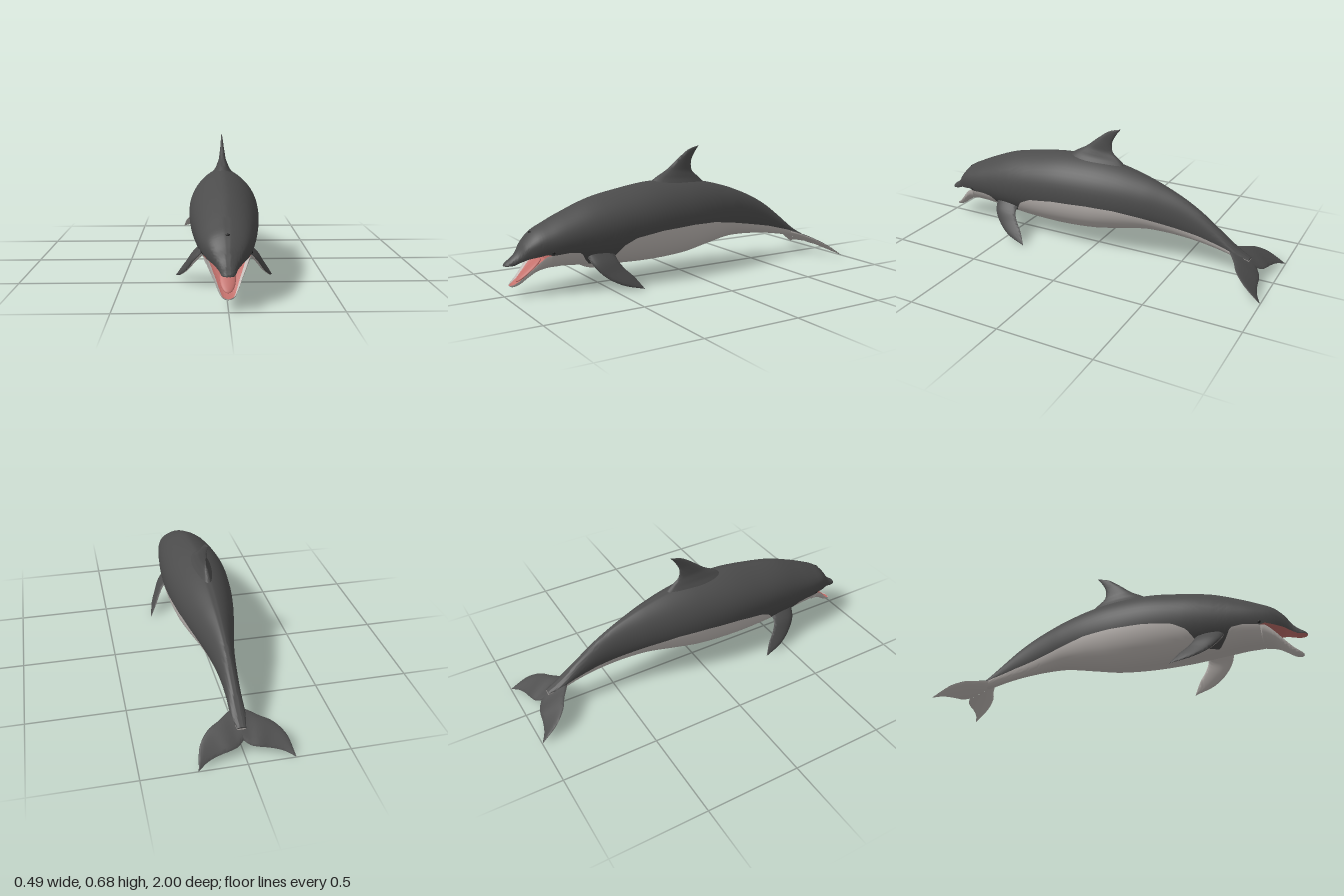
import * as THREE from 'three';
import { toCreasedNormals } from 'three/addons/utils/BufferGeometryUtils.js';

const material = (name, color) => Object.assign(new THREE.MeshStandardMaterial({ color }), { name });
const V = (x, y, z) => new THREE.Vector3(x, y, z);
const UP = 28, LOW = 20; // segments above and below the colour line

// Body sections: z, top, widest height, bottom, half width
const BODY = [
  [-0.87, 0.113, 0.104, 0.096, 0.022], [-0.8, 0.155, 0.13, 0.105, 0.036],
  [-0.7, 0.235, 0.18, 0.125, 0.037], [-0.6, 0.31, 0.225, 0.142, 0.043],
  [-0.5, 0.368, 0.255, 0.153, 0.056], [-0.4, 0.412, 0.275, 0.159, 0.077],
  [-0.3, 0.448, 0.29, 0.157, 0.102], [-0.15, 0.487, 0.3, 0.13, 0.136],
  [0, 0.508, 0.305, 0.102, 0.16], [0.2, 0.51, 0.31, 0.09, 0.175],
  [0.4, 0.482, 0.3, 0.095, 0.17], [0.55, 0.45, 0.285, 0.108, 0.156],
  [0.7, 0.392, 0.265, 0.121, 0.135], [0.78, 0.355, 0.255, 0.121, 0.119],
  [0.85, 0.318, 0.245, 0.13, 0.097], [0.9, 0.268, 0.22, 0.14, 0.068],
  [0.93, 0.222, 0.185, 0.14, 0.045], [0.96, 0.193, 0.165, 0.14, 0.034],
  [0.99, 0.172, 0.157, 0.145, 0.024], [1, 0.16, 0.156, 0.15, 0.004],
];
// Height of the line between back and belly, then of the upper lip: z, y
const LINE = [
  [-0.87, 0.105], [-0.75, 0.15], [-0.6, 0.19], [-0.45, 0.22], [-0.3, 0.25], [-0.15, 0.275],
  [0, 0.28], [0.2, 0.272], [0.35, 0.25], [0.42, 0.215], [0.46, 0.16], [0.49, 0.125],
  [0.57, 0.12], [0.61, 0.155], [0.64, 0.2], [0.7, 0.208], [0.785, 0.2], [0.81, 0.207],
  [0.89, 0.188], [0.955, 0.157], [1, 0.155],
];
// Lower jaw: z, lip height, bottom, half width
const JAW = [
  [0.785, 0.2, 0.121, 0.107], [0.81, 0.196, 0.117, 0.1], [0.85, 0.163, 0.106, 0.084],
  [0.89, 0.122, 0.081, 0.063], [0.93, 0.083, 0.053, 0.044], [0.96, 0.062, 0.045, 0.029],
  [0.973, 0.055, 0.049, 0.012],
];
const THROAT = 0.785;

// Interpolates a table row at z, smoothly or in straight steps
function at(table, z, smooth = true) {
  let k = 0;
  while (k < table.length - 2 && z > table[k + 1][0]) k++;
  const a = table[k], b = table[k + 1], dz = b[0] - a[0];
  const t = THREE.MathUtils.clamp((z - a[0]) / dz, 0, 1);
  const p = table[Math.max(k - 1, 0)], q = table[Math.min(k + 2, table.length - 1)];
  return a.slice(1).map((v, n) => {
    const i = n + 1, w = b[i];
    if (!smooth) return v + (w - v) * t;
    const m0 = (w - p[i]) / (b[0] - p[0]) * dz, m1 = (q[i] - v) / (q[0] - a[0]) * dz;
    return (2 * t ** 3 - 3 * t * t + 1) * v + (t ** 3 - 2 * t * t + t) * m0
      + (3 * t * t - 2 * t ** 3) * w + (t ** 3 - t * t) * m1;
  });
}

// Skins closed rings; pick(i, j) gives the material number of each quad
function loft(name, rings, mats, pick, crease = 0.9) {
  const n = rings[0].length, lists = mats.map(() => []);
  for (let i = 0; i < rings.length - 1; i++) {
    for (let j = 0; j < n; j++) {
      const a = i * n + j, b = i * n + (j + 1) % n;
      lists[pick(i, j)].push(a, b, a + n, b, b + n, a + n);
    }
  }
  const geo = new THREE.BufferGeometry().setFromPoints(rings.flat());
  geo.setIndex(lists.flat());
  let start = 0;
  lists.forEach((l, k) => { geo.addGroup(start, l.length, k); start += l.length; });
  const mesh = new THREE.Mesh(toCreasedNormals(geo, crease), mats);
  mesh.name = name;
  return mesh;
}

// Ring shrunk to its middle, to close an end
function capRing(ring) {
  const c = ring.reduce((s, p) => s.add(p), V(0, 0, 0)).divideScalar(ring.length);
  return ring.map(() => c.clone());
}

// One body section; in front of the throat its underside is the mouth roof
function bodyRing(z, roof) {
  const [T, C, B, W] = at(BODY, z), h = at(LINE, z, false)[0];
  const a0 = Math.asin(THREE.MathUtils.clamp((h - C) / (h > C ? T - C : C - B), -0.99, 0.99));
  const point = (a) => {
    const s = Math.sin(a), c = Math.cos(a);
    const x = Math.sign(c) * Math.abs(c) ** (1 + 0.3 * Math.max(0, s)) * W;
    return V(x, C + s * (s > 0 ? T - C : C - B), z);
  };
  const ring = [];
  for (let j = 0; j < UP; j++) ring.push(point(a0 + (Math.PI - 2 * a0) * j / UP));
  const edge = point(a0);
  for (let j = 0; j < LOW; j++) {
    const t = 2 * j / LOW - 1;
    ring.push(roof ? V(edge.x * t, edge.y + 0.15 * (T - edge.y) * (1 - t * t), z)
      : point(Math.PI - a0 + (Math.PI + 2 * a0) * j / LOW));
  }
  return ring;
}

// One lower jaw section with a hollowed floor
function jawRing(z) {
  const [h, B, W] = at(JAW, z), ring = [];
  const first = z === THROAT ? bodyRing(z, false) : null;
  const w = first ? first[0].x : W;
  for (let j = 0; j < UP; j++) {
    const t = 1 - 2 * j / UP;
    ring.push(V(w * t, h - 0.45 * (h - B) * (1 - t ** 4), z));
  }
  for (let j = 0; j < LOW; j++) {
    const a = Math.PI * (1 + j / LOW);
    ring.push(first ? first[UP + j] : V(w * Math.cos(a), h + (h - B) * Math.sin(a), z));
  }
  return ring;
}

// Fin skinned between a leading and a trailing edge; half is the half thickness per station
function fin(name, lead, trail, half, side, matA, matB) {
  const curve = (pts) => new THREE.CatmullRomCurve3(pts.map(([x, y, z]) => V(x * side, y, z)));
  const L = curve(lead), R = curve(trail), N = 28, M = 12, rings = [];
  const mid = (u) => L.getPoint(u).add(R.getPoint(u));
  for (let i = 0; i <= N; i++) {
    const u = i / N, a = L.getPoint(u), b = R.getPoint(u);
    const span = mid(Math.min(1, u + 0.02)).sub(mid(Math.max(0, u - 0.02)));
    const normal = b.clone().sub(a).cross(span).normalize();
    const f = u * (half.length - 1), k = Math.min(Math.floor(f), half.length - 2);
    const thick = half[k] + (half[k + 1] - half[k]) * (f - k);
    const ring = [];
    for (let j = 0; j < 2 * M; j++) {
      const c = (1 - Math.cos(Math.PI * j / M)) / 2; // 0 at the leading edge, 1 at the trailing edge
      const bulge = Math.sin(Math.PI * j / M) * (1.25 - 0.5 * c);
      ring.push(a.clone().lerp(b, c).addScaledVector(normal, thick * bulge));
    }
    rings.push(ring);
  }
  return loft(name, rings, [matA, matB], (i, j) => (j < M ? 0 : 1), 1.0);
}

export function createModel() {
  const dark = material('dark grey skin', 0x4c4c4c);
  const pale = material('pale belly skin', 0xc2bcb8);
  const pink = material('pink mouth', 0xc4716c);
  const black = material('eye black', 0x1c1c1c);
  const model = new THREE.Group();
  model.name = 'dolphin';

  // Body and upper head in one skin, with the throat wall at the mouth corner
  const rings = [], BACK = 120, HEAD = 36;
  for (let i = 0; i <= BACK; i++) rings.push(bodyRing(-0.87 + (THROAT + 0.87) * i / BACK, false));
  for (let i = 0; i <= HEAD; i++) rings.push(bodyRing(THROAT + (1 - THROAT) * i / HEAD, true));
  rings.unshift(capRing(rings[0]));
  rings.push(capRing(rings[rings.length - 1]));
  model.add(loft('body', rings, [dark, pale, pink],
    (i, j) => (j < UP ? 0 : i <= BACK ? 1 : 2)));

  // Lower jaw with pale lips and pink floor
  const jaw = [];
  for (let i = 0; i <= 30; i++) jaw.push(jawRing(THROAT + (0.973 - THROAT) * i / 30));
  jaw.push(capRing(jaw[30]));
  model.add(loft('lowerJaw', jaw, [pale, pink], (i, j) => (j >= 3 && j < UP - 3 ? 1 : 0)));

  // Small rounded parts
  const blob = (name, mat, pos, size, tilt = 0) => {
    const mesh = new THREE.Mesh(new THREE.SphereGeometry(1, 24, 16), mat);
    mesh.name = name;
    mesh.position.set(...pos);
    mesh.scale.set(...size);
    mesh.rotation.x = tilt;
    model.add(mesh);
  };
  blob('tongue', pink, [0, 0.121, 0.873], [0.036, 0.011, 0.085], 0.66);
  blob('blowhole', black, [0, 0.309, 0.861], [0.011, 0.003, 0.006], 0.75);

  // Dorsal fin
  model.add(fin('dorsalFin',
    [[0, 0.47, 0.22], [0, 0.522, 0.15], [0, 0.565, 0.075], [0, 0.62, 0.005], [0, 0.665, -0.06], [0, 0.685, -0.128]],
    [[0, 0.44, -0.2], [0, 0.508, -0.13], [0, 0.55, -0.083], [0, 0.6, -0.077], [0, 0.645, -0.098], [0, 0.685, -0.128]],
    [0.07, 0.034, 0.018, 0.01, 0.005, 0.001], 1, dark, dark));

  for (const side of [1, -1]) {
    const word = side > 0 ? 'left' : 'right';
    const skins = side > 0 ? [pale, dark] : [dark, pale];
    blob(word + 'Eye', black, [0.109 * side, 0.214, 0.782], [0.007, 0.007, 0.009]);
    // Flippers
    model.add(fin(word + 'Flipper',
      [[0.11, 0.175, 0.605], [0.15, 0.13, 0.588], [0.185, 0.075, 0.54], [0.219, 0.032, 0.465], [0.243, 0.002, 0.352]],
      [[0.11, 0.185, 0.46], [0.152, 0.145, 0.456], [0.178, 0.105, 0.432], [0.205, 0.062, 0.392], [0.243, 0.002, 0.352]],
      [0.02, 0.016, 0.012, 0.008, 0.001], side, ...skins));
    // Tail flukes
    model.add(fin(word + 'Fluke',
      [[0, 0.146, -0.75], [0.05, 0.136, -0.78], [0.1, 0.122, -0.815], [0.155, 0.105, -0.845], [0.207, 0.068, -0.905], [0.232, 0.002, -1]],
      [[0, 0.065, -0.908], [0.03, 0.05, -0.93], [0.07, 0.044, -0.943], [0.117, 0.036, -0.95], [0.18, 0.022, -0.968], [0.232, 0.002, -1]],
      [0.016, 0.012, 0.009, 0.007, 0.005, 0.001], side, ...skins));
  }
  return model;
}
